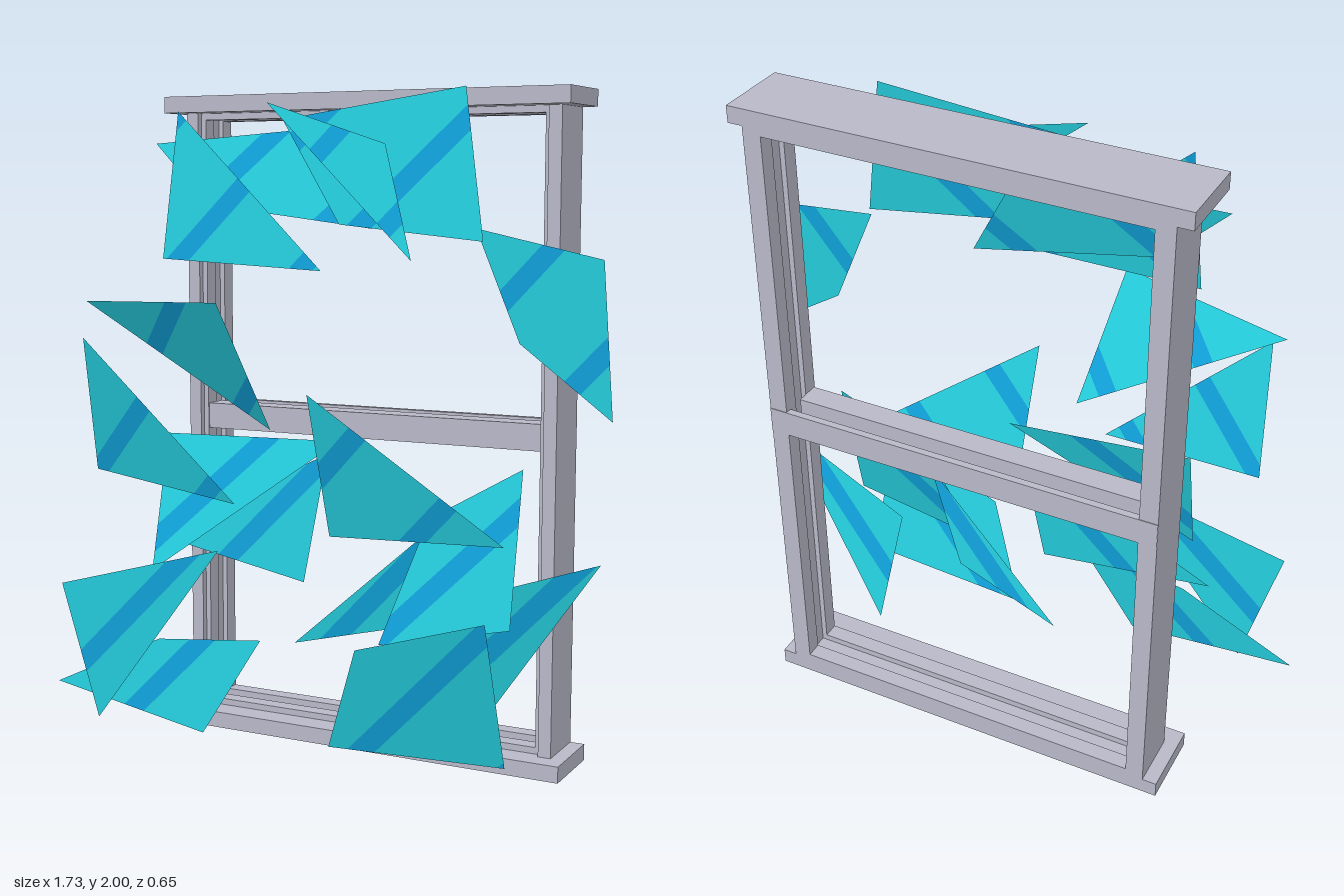
import * as THREE from 'three';

const frameMat = new THREE.MeshStandardMaterial({ color: 0xb9b9c9 });
frameMat.name = 'painted frame grey';
const glassMat = new THREE.MeshStandardMaterial({ color: 0x25cddd, side: THREE.DoubleSide });
glassMat.name = 'glass cyan';
const streakMat = new THREE.MeshStandardMaterial({ color: 0x10a2da, side: THREE.DoubleSide });
streakMat.name = 'streak blue';

const point = (x, y, z) => new THREE.Vector3(x, y, z);

// Box given by its extents
function slab(name, x0, x1, y0, y1, z0, z1) {
  const mesh = new THREE.Mesh(new THREE.BoxGeometry(x1 - x0, y1 - y0, z1 - z0), frameMat);
  mesh.position.set((x0 + x1) / 2, (y0 + y1) / 2, (z0 + z1) / 2);
  mesh.name = name;
  return mesh;
}

// Keep the part of a polygon where side(p) >= 0
function clip(poly, side) {
  const out = [];
  poly.forEach((a, i) => {
    const b = poly[(i + 1) % poly.length];
    const da = side(a), db = side(b);
    if (da >= 0) out.push(a);
    if (da * db < 0) out.push(a.clone().lerp(b, da / (da - db)));
  });
  return out;
}

// Flat-shaded mesh from convex polygons
function panes(name, polys, material) {
  const points = [];
  for (const p of polys) {
    for (let i = 1; i < p.length - 1; i++) points.push(p[0], p[i], p[i + 1]);
  }
  const geo = new THREE.BufferGeometry().setFromPoints(points);
  geo.computeVertexNormals();
  const mesh = new THREE.Mesh(geo, material);
  mesh.name = name;
  return mesh;
}

// Fourth corner, placed at x, y on the plane of the first three
function onPlane([a, b, c], x, y) {
  const plane = new THREE.Plane().setFromCoplanarPoints(a, b, c);
  const n = plane.normal;
  return point(x, y, -(plane.constant + n.x * x + n.y * y) / n.z);
}

// Flat shard with evenly spaced diagonal streaks, one of them near its middle
function shard(name, triangle, fourth, shift = 0) {
  const corners = fourth ? [...triangle, onPlane(triangle, ...fourth)] : triangle;
  const across = p => p.x - p.y;
  const middle = corners.reduce((sum, p) => sum + across(p), 0) / corners.length + shift;
  const half = 0.042, spacing = 0.45;
  const glass = [], blue = [];
  let rest = corners;
  for (const k of [-1, 0, 1]) {
    const low = middle + k * spacing - half, high = low + 2 * half;
    glass.push(clip(rest, p => low - across(p)));
    blue.push(clip(clip(rest, p => across(p) - low), p => high - across(p)));
    rest = clip(rest, p => across(p) - high);
  }
  glass.push(rest);
  const group = new THREE.Group();
  group.name = name;
  group.add(panes('shardGlass', glass, glassMat), panes('shardStreak', blue, streakMat));
  return group;
}

function createFrame() {
  const frame = new THREE.Group();
  frame.name = 'windowFrame';
  const mid = 0.0275, open = 0.5625, outer = 0.6175, back = -0.325;
  frame.add(
    slab('sill', -0.635, 0.69, 0, 0.05, back, -0.09),
    slab('head', -0.635, 0.69, 1.95, 2, back, -0.09),
    slab('meetingRailBack', mid - outer, mid + outer, 0.96, 1.04, back - 0.002, -0.305),
    slab('meetingRailFront', mid - open, mid + open, 0.96, 1.04, -0.25, -0.175),
  );
  // Posts
  for (const s of [-1, 1]) {
    const x = mid + s * 0.598;
    frame.add(slab('sidePost', x - 0.02, x + 0.02, 0.05, 1.95, back, -0.15));
  }
  // Stepped tracks around the opening
  for (const z of [-0.325, -0.22]) {
    for (const s of [-1, 1]) {
      const x = mid + s * 0.57;
      frame.add(slab('sideTrack', x - 0.008, x + 0.008, 0.05, 1.95, z, z + 0.05));
    }
    for (const y of [0.05, 1.93]) {
      frame.add(slab('railTrack', mid - open, mid + open, y, y + 0.02, z, z + 0.05));
    }
  }
  return frame;
}

function createGlass() {
  const glass = new THREE.Group();
  glass.name = 'brokenGlass';
  glass.add(
    // Around the upper opening
    shard('topShard', [point(-0.13, 1.915, 0.065), point(0.41, 2, -0.015), point(0.485, 1.57, 0.03)], [0.06, 1.615], 0.08),
    shard('topSliver', [point(-0.18, 1.965, 0.07), point(0.23, 1.84, 0.13), point(0.345, 1.52, 0.205)], null, -0.16),
    shard('topBackShard', [point(-0.63, 1.855, -0.035), point(-0.08, 1.9, -0.14), point(0.085, 1.6, -0.087)], [-0.44, 1.67], 0.34),
    shard('topRightShard', [point(-0.48, 1.945, 0.075), point(0.045, 1.485, 0.163), point(-0.505, 1.51, 0.13)]),
    shard('upperLeftShard', [point(0.43, 1.605, -0.05), point(0.83, 1.525, 0.01), point(0.865, 1.085, 0.015)], [0.575, 1.285], -0.18),
    // Across the middle
    shard('upperRightShard', [point(-0.745, 1.38, 0.19), point(-0.205, 1.397, 0.325), point(-0.14, 1.015, 0.13)], null, -0.13),
    shard('sideShard', [point(-0.67, 1.28, 0.315), point(-0.175, 0.815, 0.28), point(-0.7, 0.87, 0.21)], null, -0.06),
    shard('centreShard', [point(0.018, 1.135, 0.2), point(0.585, 0.725, 0.095), point(0.035, 0.705, 0.09)], null, -0.22),
    shard('railShard', [point(0.02, 0.975, 0), point(-0.53, 0.975, 0.075), point(-0.515, 0.57, 0.198)]),
    shard('railBackShard', [point(-0.655, 0.625, -0.04), point(-0.045, 0.925, -0.05), point(-0.11, 0.53, -0.02)]),
    // Around the lower opening
    shard('lowerSliver', [point(-0.18, 0.315, -0.09), point(0.295, 0.715, 0), point(0.17, 0.41, -0.05)]),
    shard('lowerLeftShard', [point(0.2, 0.4, 0.1), point(0.6, 0.485, 0.08), point(0.595, 0.93, -0.02)], [0.32, 0.77]),
    shard('outerLeftShard', [point(0.84, 0.685, 0.014), point(0.38, 0.52, -0.045), point(0.437, 0.135, -0.12)]),
    shard('bottomLeftShard', [point(0.205, 0.425, 0.265), point(0.613, 0.555, 0.3), point(0.635, 0.125, 0.195)], [0.08, 0.1]),
    shard('bottomRightShard', [point(-0.13, 0.4, 0.215), point(-0.315, 0.1, 0.24), point(-0.865, 0.18, 0.21)], [-0.49, 0.36]),
    shard('lowerRightShard', [point(-0.785, 0.52, 0.29), point(-0.25, 0.665, 0.25), point(-0.675, 0.105, 0.265)]),
  );
  return glass;
}

export function createModel() {
  const model = new THREE.Group();
  model.name = 'shatteredWindow';
  model.add(createFrame(), createGlass());
  return model;
}
